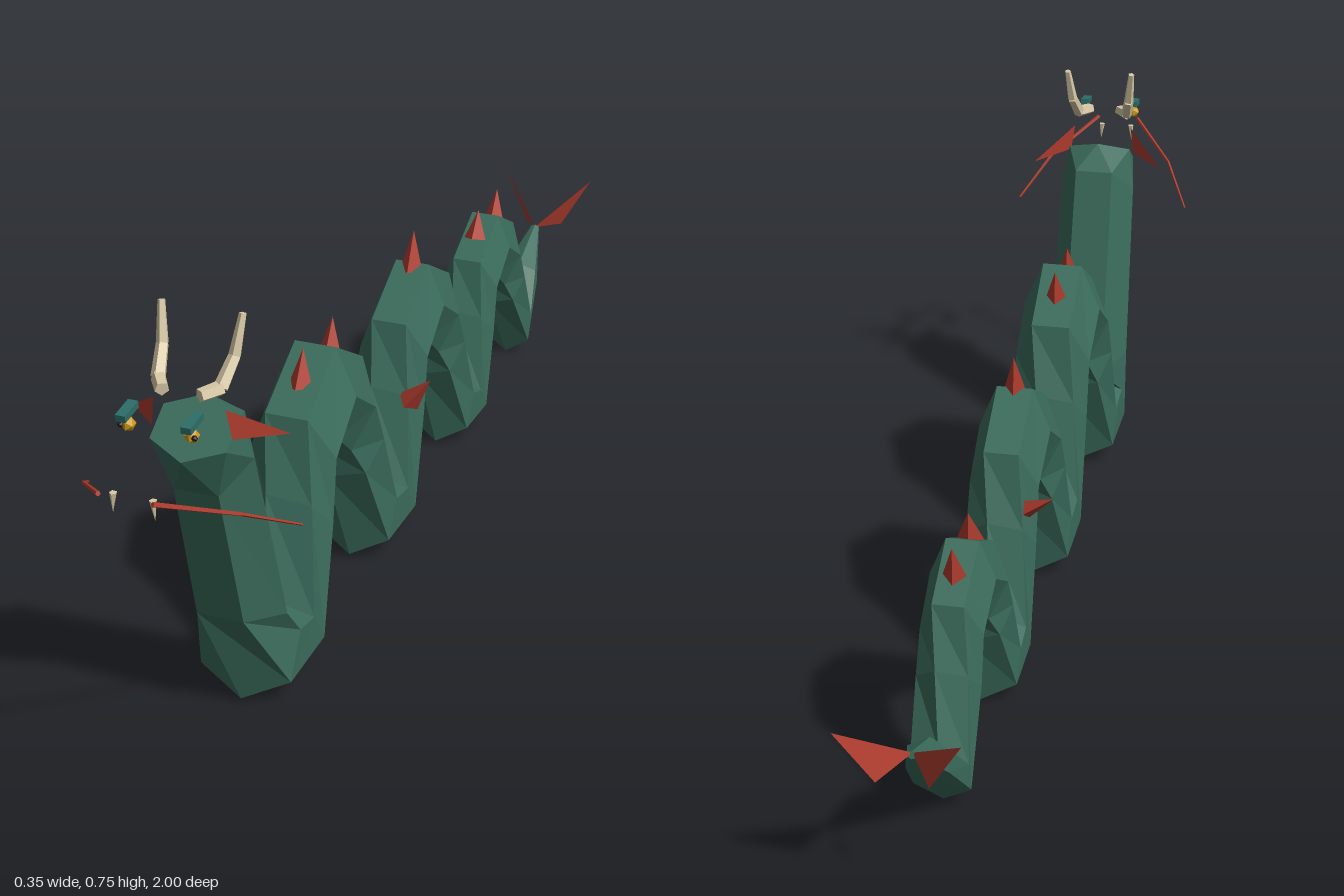
import * as THREE from 'three';

const mat = (name, color) => {
  const m = new THREE.MeshStandardMaterial({ color, flatShading: true, side: THREE.DoubleSide });
  m.name = name;
  return m;
};
const green = mat('scaleGreen', 0x3a6b5b);
const red = mat('finRed', 0xb03c2e);
const bone = mat('hornBone', 0xd8c9a6);
const gold = mat('eyeGold', 0xd09a1a);
const teal = mat('browTeal', 0x2c6e68);
const dark = mat('pupilDark', 0x1c1a18);

const SIDES = 6;

// Cross-sections: back z, y, belly z, y, half width, twist in steps of 15 degrees
const NECK = [
  [.725, .605, .826, .54, .062, -2],
  [.68, .56, .78, .465, .074, 0],
  [.56, .165, .715, .205, .08, 0],
  [.565, .16, .65, .01, .08, -2],
];
const TAIL = [
  [-.75, .12, -.72, .005, .047, -14],
  [-.80, .175, -.83, .115, .034, -14],
  [-.908, .222, -.912, .21, .008, -14],
];

// Half an arch from peak to valley: back z, y, belly z, y; heights relative to the peak
const HALF_ARCH = [
  [0, 1, 0, .66], [.124, .85, .068, .54], [.168, .6, .085, .4], [.225, .28, .142, .024],
];
// Each arch: centre z, peak height, length scale
const ARCHES = [[.32, .5, 1], [-.14, .455, .97], [-.56, .385, .87]];

function archRings([z, height, scale], i) {
  return [-3, -2, -1, 0, 1, 2, 3].map(k => {
    const [dz, dy, vz, vy] = HALF_ARCH[Math.abs(k)];
    const dir = Math.sign(k), zBack = z - dir * dz * scale;
    const twist = -4 - 4 * i - dir * Math.max(Math.abs(k) - 1, 0);
    return [zBack, dy * height, z - dir * vz * scale, vy * height, .066 + .022 * zBack, twist];
  });
}

function bodyGeometry() {
  // The tail supplies the valley behind the last arch
  const rings = [...NECK, ...ARCHES.flatMap(archRings).slice(0, -1), ...TAIL];
  const pos = [], idx = [], n = rings.length;
  for (const [dz, dy, vz, vy, w, t] of rings) {
    const angles = Array.from({ length: SIDES }, (_, k) => (30 + k * 60 + t * 15) * Math.PI / 180);
    const hMax = Math.max(...angles.map(a => Math.abs(Math.cos(a))));
    const wMax = Math.max(...angles.map(a => Math.abs(Math.sin(a))));
    for (const a of angles) {
      const c = Math.cos(a) / hMax / 2;
      pos.push(w * Math.sin(a) / wMax, (dy + vy) / 2 + (dy - vy) * c, (dz + vz) / 2 + (dz - vz) * c);
    }
  }
  for (let i = 0; i < n - 1; i++) for (let k = 0; k < SIDES; k++) {
    const a = i * SIDES + k, b = i * SIDES + (k + 1) % SIDES;
    idx.push(a, b, a + SIDES, b, b + SIDES, a + SIDES);
  }
  // End caps
  const last = (n - 1) * SIDES;
  for (let k = 1; k < SIDES - 1; k++) idx.push(0, k + 1, k, last, last + k, last + k + 1);
  const g = new THREE.BufferGeometry();
  g.setAttribute('position', new THREE.Float32BufferAttribute(pos, 3));
  g.setIndex(idx);
  g.computeVertexNormals();
  return g;
}

function triangle(...corners) {
  const g = new THREE.BufferGeometry();
  g.setAttribute('position', new THREE.Float32BufferAttribute(corners.flat(), 3));
  g.computeVertexNormals();
  return g;
}

// Tapered bar between two points
function bar(a, b, r0, r1, sides) {
  const p = new THREE.Vector3(...a), q = new THREE.Vector3(...b), d = q.clone().sub(p);
  const g = new THREE.CylinderGeometry(r1, r0, d.length(), sides);
  g.applyQuaternion(new THREE.Quaternion().setFromUnitVectors(new THREE.Vector3(0, 1, 0), d.normalize()));
  const mid = p.add(q).multiplyScalar(.5);
  return g.translate(mid.x, mid.y, mid.z);
}

export function createModel() {
  const model = new THREE.Group();
  model.name = 'seaSerpent';
  const add = (name, geo, material, parent = model) => {
    const m = new THREE.Mesh(geo, material);
    m.name = name;
    parent.add(m);
    return m;
  };

  add('body', bodyGeometry(), green);

  // Back fins: base, then tip
  const fins = [
    [[0, .45, .385], [0, .515, .37]], [[0, .45, .26], [0, .515, .243]],
    [[0, .44, -.135], [0, .515, -.148]],
    [[0, .355, -.50], [0, .41, -.518]], [[0, .345, -.615], [0, .41, -.635]],
    [[.05, .25, .01], [.095, .305, .02]], [[-.03, .28, -.26], [-.095, .32, -.28]],
  ];
  for (const [base, tip] of fins) add('backFin', bar(base, tip, .022, 0, 4), red);

  for (const s of [1, -1]) {
    const side = new THREE.Group();
    side.name = s > 0 ? 'leftDetails' : 'rightDetails';
    model.add(side);
    const at = (x, y, z) => [x * s, y, z];

    // Tail fluke and ear fin
    add('tailFluke', triangle(at(0, .217, -.905), at(.095, .302, -1), at(.04, .205, -.972)), red, side);
    add('earFin', triangle(at(.058, .62, .79), at(.065, .57, .785), at(.13, .56, .72)), red, side);

    // Whisker
    const whisker = [at(.042, .573, .998), at(.126, .516, .89), at(.175, .454, .79)];
    for (let i = 0; i < 2; i++)
      add('whisker', bar(whisker[i], whisker[i + 1], .004 - i * .001, .003 - i * .001, 5), red, side);

    // Horn
    const horn = [at(.03, .65, .815), at(.05, .652, .785), at(.058, .69, .752), at(.065, .752, .735)];
    const radii = [.011, .012, .01, .006];
    for (let i = 0; i < 3; i++)
      add('horn', bar(horn[i], horn[i + 1], radii[i], radii[i + 1], 5), bone, side);

    // Eye, pupil and brow
    add('eye', new THREE.IcosahedronGeometry(.012, 0), gold, side).position.set(.05 * s, .625, .885);
    add('pupil', new THREE.IcosahedronGeometry(.005, 0), dark, side).position.set(.058 * s, .626, .893);
    const brow = add('brow', new THREE.BoxGeometry(.016, .011, .042), teal, side);
    brow.position.set(.051 * s, .645, .885);
    brow.rotation.x = .12;

    // Fang
    add('fang', bar(at(.031, .565, .975), at(.033, .532, .975), .006, 0, 5), bone, side);
  }
  return model;
}
